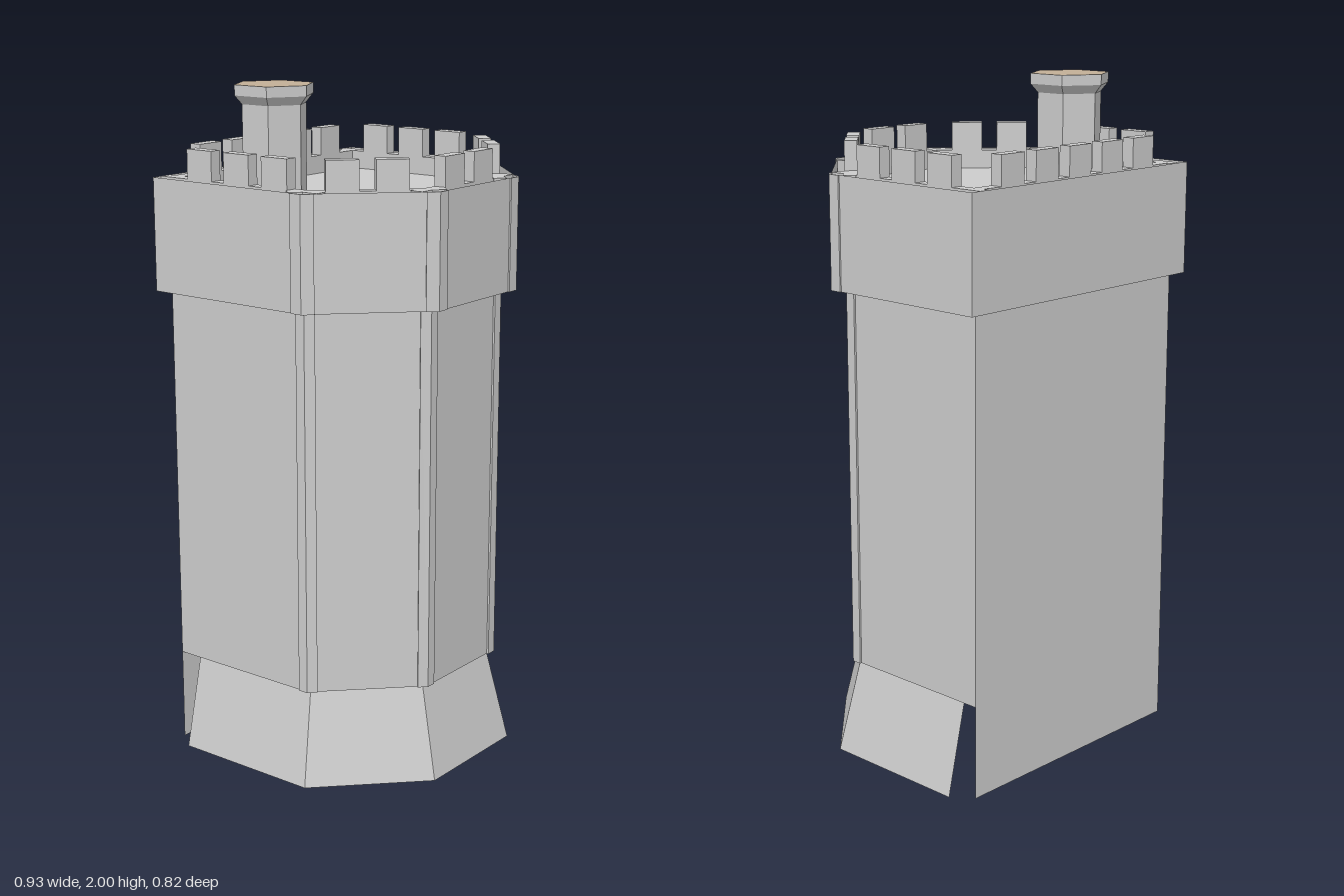
import * as THREE from 'three';

const grey = new THREE.MeshStandardMaterial({ color: 0xcccccc, flatShading: true, side: THREE.DoubleSide });
const tan = new THREE.MeshStandardMaterial({ color: 0xc2af97, flatShading: true, side: THREE.DoubleSide });

// Half-octagon front with straight sides running to the back; [x, z] from +x back corner to -x back corner
function outline(halfWidth, front, frontHalf, shoulder, back) {
  return [
    [halfWidth, back], [halfWidth, shoulder], [frontHalf, front],
    [-frontHalf, front], [-halfWidth, shoulder], [-halfWidth, back],
  ];
}

// Thin wall between a lower and an upper outline
function wallStrip(lower, upper, y0, y1, closed) {
  const pos = [];
  const n = lower.length;
  for (let i = 0; i < (closed ? n : n - 1); i++) {
    const j = (i + 1) % n;
    const a = [lower[i][0], y0, lower[i][1]], b = [lower[j][0], y0, lower[j][1]];
    const c = [upper[j][0], y1, upper[j][1]], d = [upper[i][0], y1, upper[i][1]];
    pos.push(...a, ...c, ...b, ...a, ...d, ...c);
  }
  const g = new THREE.BufferGeometry();
  g.setAttribute('position', new THREE.Float32BufferAttribute(pos, 3));
  g.computeVertexNormals();
  return g;
}

function add(parent, name, geometry, material = grey) {
  const mesh = new THREE.Mesh(geometry, material);
  mesh.name = name;
  parent.add(mesh);
  return mesh;
}

function flatShape(points) {
  return new THREE.Shape(points.map(([x, z]) => new THREE.Vector2(x, -z)));
}

// Angled strip wrapped round each of the four front corners of an outline
function cornerStrips(parent, name, points, y0, y1, width, thick) {
  for (let i = 1; i <= 4; i++) {
    const p = new THREE.Vector2(...points[i]);
    const a = new THREE.Vector2(...points[i - 1]).sub(p).normalize();
    const b = new THREE.Vector2(...points[i + 1]).sub(p).normalize();
    const na = new THREE.Vector2(-a.y, a.x), nb = new THREE.Vector2(b.y, -b.x);
    if (na.dot(b) > 0) na.negate();
    if (nb.dot(a) > 0) nb.negate();
    const out = na.clone().add(nb).normalize().multiplyScalar(thick / Math.cos(Math.PI / 8));
    const endA = p.clone().addScaledVector(a, width), endB = p.clone().addScaledVector(b, width);
    const section = [
      endA, endA.clone().addScaledVector(na, thick), p.clone().add(out),
      endB.clone().addScaledVector(nb, thick), endB, p,
    ].map(v => [v.x, v.y]);
    const g = new THREE.ExtrudeGeometry(flatShape(section), { depth: y1 - y0, bevelEnabled: false });
    g.rotateX(-Math.PI / 2);
    add(parent, name, g).position.y = y0;
  }
}

// Parapet wall with evenly spaced merlons
function battlement(length, merlons) {
  const s = new THREE.Shape();
  const h = length / 2, pitch = 0.138, half = 0.046;
  s.moveTo(-h, 1.685);
  s.lineTo(h, 1.685);
  s.lineTo(h, 1.74);
  for (let i = merlons - 1; i >= 0; i--) {
    const c = (i - (merlons - 1) / 2) * pitch;
    s.lineTo(c + half, 1.74);
    s.lineTo(c + half, 1.825);
    s.lineTo(c - half, 1.825);
    s.lineTo(c - half, 1.74);
  }
  s.lineTo(-h, 1.74);
  const g = new THREE.ExtrudeGeometry(s, { depth: 0.037, bevelEnabled: false });
  g.translate(0, 0, -0.0185);
  return g;
}

export function createModel() {
  const tower = new THREE.Group();
  tower.name = 'tower';

  // Shaft: front and side walls, with the back wall reaching the ground
  const body = outline(0.418, 0.362, 0.17, 0.114, -0.385);
  add(tower, 'shaftWalls', wallStrip(body, body, 0.28, 1.685, false));
  const back = [body[5], body[0]];
  add(tower, 'backWall', wallStrip(back, back, 0, 1.685, false));
  cornerStrips(tower, 'shaftCornerStrip', body, 0.28, 1.41, 0.028, 0.006);

  // Flared base, open at the back
  const baseTop = outline(0.4, 0.343, 0.166, 0.11, -0.325);
  const baseFoot = outline(0.465, 0.41, 0.193, 0.138, -0.325);
  add(tower, 'flaredBase', wallStrip(baseFoot, baseTop, 0, 0.28, false));

  // Overhanging band near the top
  const band = outline(0.457, 0.403, 0.19, 0.136, -0.41);
  add(tower, 'upperBand', wallStrip(band, band, 1.41, 1.74, true));
  cornerStrips(tower, 'bandCornerStrip', band, 1.41, 1.74, 0.035, 0.005);

  // Roof floor
  const floor = new THREE.ShapeGeometry(flatShape(body));
  floor.rotateX(-Math.PI / 2);
  add(tower, 'roofFloor', floor).position.y = 1.685;

  // Battlements: [length, merlons, x, z, turn]
  const walls = [
    [0.445, 2, 0, 0.35, 0],
    [0.78, 5, 0, -0.37, Math.PI],
  ];
  for (const s of [1, -1]) {
    walls.push([0.575, 3, 0.407 * s, -0.122, s * Math.PI / 2]);
    walls.push([0.437, 2, 0.287 * s, 0.23, s * Math.PI / 4]);
  }
  for (const [length, merlons, x, z, turn] of walls) {
    const m = add(tower, 'battlement', battlement(length, merlons));
    m.position.set(x, 0, z);
    m.rotation.y = turn;
  }

  // Six-sided chimney with a flared, coloured top
  const chimney = new THREE.Group();
  chimney.name = 'chimney';
  chimney.position.set(-0.207, 0, -0.166);
  const stages = [
    ['chimneyShaft', 0.097, 0.097, 1.685, 1.945],
    ['chimneyFlare', 0.097, 0.119, 1.945, 1.97],
    ['chimneyRim', 0.119, 0.119, 1.97, 2],
  ];
  for (const [name, r0, r1, y0, y1] of stages) {
    add(chimney, name, new THREE.CylinderGeometry(r1, r0, y1 - y0, 6, 1, true)).position.y = (y0 + y1) / 2;
  }
  const lid = new THREE.CircleGeometry(0.119, 6, Math.PI / 2);
  lid.rotateX(-Math.PI / 2);
  add(chimney, 'chimneyTop', lid, tan).position.y = 2;
  tower.add(chimney);

  return tower;
}
